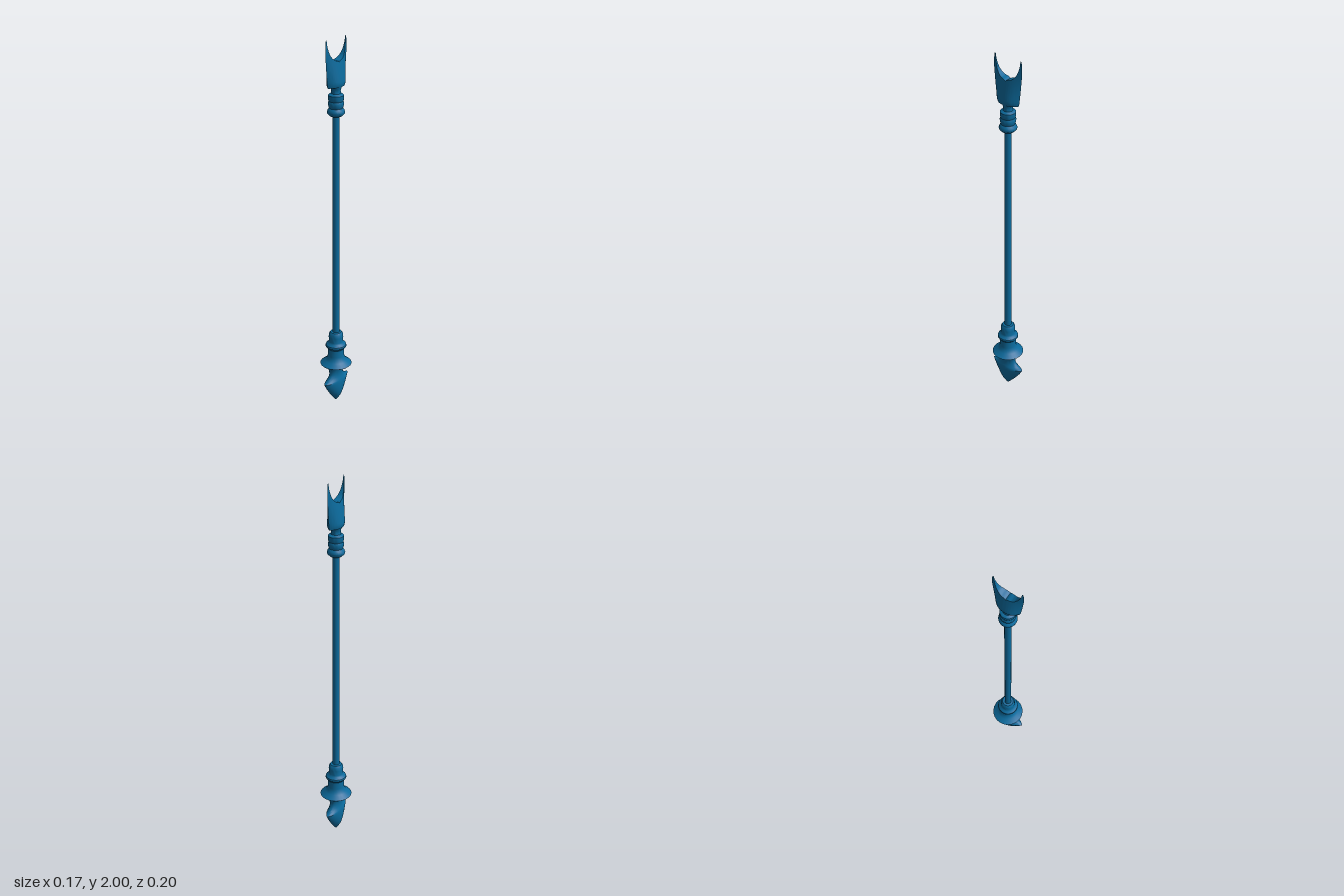
import * as THREE from 'three';
import { toCreasedNormals } from 'three/addons/utils/BufferGeometryUtils.js';

const material = new THREE.MeshStandardMaterial({ color: 0x0b6a9c, side: THREE.DoubleSide });

// Piecewise linear lookup in [key, value] pairs
function lookup(table, k) {
  for (let i = 1; i < table.length; i++) {
    const [k0, v0] = table[i - 1], [k1, v1] = table[i];
    if (k <= k1) return v0 + (v1 - v0) * (k - k0) / (k1 - k0);
  }
  return table[table.length - 1][1];
}

// Skin a row of closed cross-sections with equal point counts
function loft(rings, crease) {
  const n = rings[0].length, index = [];
  for (let i = 0; i < rings.length - 1; i++) {
    for (let j = 0; j < n; j++) {
      const a = i * n + j, b = i * n + (j + 1) % n;
      index.push(a, a + n, b, b, a + n, b + n);
    }
  }
  const geo = new THREE.BufferGeometry();
  geo.setAttribute('position', new THREE.Float32BufferAttribute(rings.flat(2), 3));
  geo.setIndex(index);
  return toCreasedNormals(geo, crease);
}

function turned(profile, segments = 24) {
  const points = profile.map(([r, y]) => new THREE.Vector2(r, y));
  return toCreasedNormals(new THREE.LatheGeometry(points, segments), 0.6);
}

// Forked head: sections across z, each running up one cheek and down the other
function forkGeometry() {
  const top = [[0, 1.882], [0.1, 1.888], [0.35, 1.893], [0.55, 1.905], [0.7, 1.925],
    [0.8, 1.95], [0.88, 1.98], [0.94, 1.998], [1, 1.995]];
  const width = [[1.76, 0.064], [1.77, 0.068], [1.85, 0.077], [1.93, 0.084], [1.97, 0.084], [2, 0.079]];
  const thick = [[1.76, 0.032], [1.775, 0.037], [1.8, 0.034], [1.85, 0.026], [1.9, 0.018], [2, 0.003]];
  const rings = [], columns = 40, rows = 14;
  for (let i = 0; i <= columns; i++) {
    const s = -Math.cos(Math.PI * i / columns);
    const cheek = [];
    for (let j = 0; j <= rows; j++) {
      const y = 1.76 + (lookup(top, Math.abs(s)) - 1.76) * j / rows;
      cheek.push([lookup(thick, y) * (1 - Math.abs(s) ** 2.5), y, s * lookup(width, y)]);
    }
    rings.push([...cheek, ...cheek.slice().reverse().map(([x, y, z]) => [-x, y, z])].reverse());
  }
  return loft(rings, 0.7);
}

// Winged foot blade: lens sections stacked along y [y, half x, half z, edge sharpness]
function bladeGeometry() {
  const levels = [[0.0, 0.001, 0.001, 0.5], [0.012, 0.01, 0.013, 0.5], [0.04, 0.027, 0.037, 0.5],
    [0.07, 0.034, 0.06, 0.5], [0.1, 0.036, 0.081, 0.5], [0.12, 0.036, 0.093, 0.5],
    [0.132, 0.035, 0.1, 0.5], [0.138, 0.034, 0.086, 0.5], [0.145, 0.032, 0.07, 0.4],
    [0.157, 0.029, 0.056, 0.25], [0.172, 0.028, 0.048, 0.15], [0.19, 0.03, 0.048, 0.05],
    [0.208, 0.035, 0.054, 0], [0.226, 0.043, 0.065, 0]];
  const n = 28;
  const rings = levels.map(([y, a, b, e]) => Array.from({ length: n }, (_, j) => {
    const t = 2 * Math.PI * j / n, c = Math.cos(t);
    return [a * c * Math.abs(c) ** e, y, b * Math.sin(t)];
  }));
  return loft(rings, 0.7);
}

export function createModel() {
  const group = new THREE.Group();
  const add = (name, geometry) => {
    const mesh = new THREE.Mesh(geometry, material);
    mesh.name = name;
    group.add(mesh);
    return mesh;
  };

  add('shaft', new THREE.CylinderGeometry(0.018, 0.018, 1.24, 16)).position.y = 1.01;

  add('upperCollar', turned([[0, 1.61], [0.03, 1.61], [0.043, 1.622], [0.045, 1.63], [0.041, 1.641],
    [0.034, 1.65], [0.037, 1.657], [0.04, 1.675], [0.036, 1.685], [0.039, 1.695], [0.039, 1.715],
    [0.034, 1.72], [0.025, 1.724], [0.023, 1.737], [0.026, 1.75], [0.032, 1.765], [0, 1.765]]));

  add('lowerCollar', turned([[0, 0.222], [0.045, 0.222], [0.078, 0.226], [0.084, 0.231], [0.077, 0.237],
    [0.058, 0.25], [0.047, 0.264], [0.043, 0.28], [0.043, 0.32], [0.05, 0.328], [0.056, 0.336],
    [0.054, 0.345], [0.042, 0.354], [0.038, 0.362], [0.039, 0.39], [0.037, 0.408], [0.03, 0.418],
    [0, 0.42]]));

  add('forkedHead', forkGeometry());

  // Flat underside of the forked head
  const base = new THREE.Shape();
  for (let i = 0; i <= 40; i++) {
    const s = Math.cos(Math.PI * i / 20), x = 0.032 * (1 - Math.abs(s) ** 2.5) * (i <= 20 ? 1 : -1);
    if (i === 0) base.moveTo(x, s * 0.064); else base.lineTo(x, s * 0.064);
  }
  const underside = add('forkUnderside', new THREE.ShapeGeometry(base));
  underside.rotation.x = Math.PI / 2;
  underside.position.y = 1.76;

  add('footBlade', bladeGeometry());
  return group;
}
